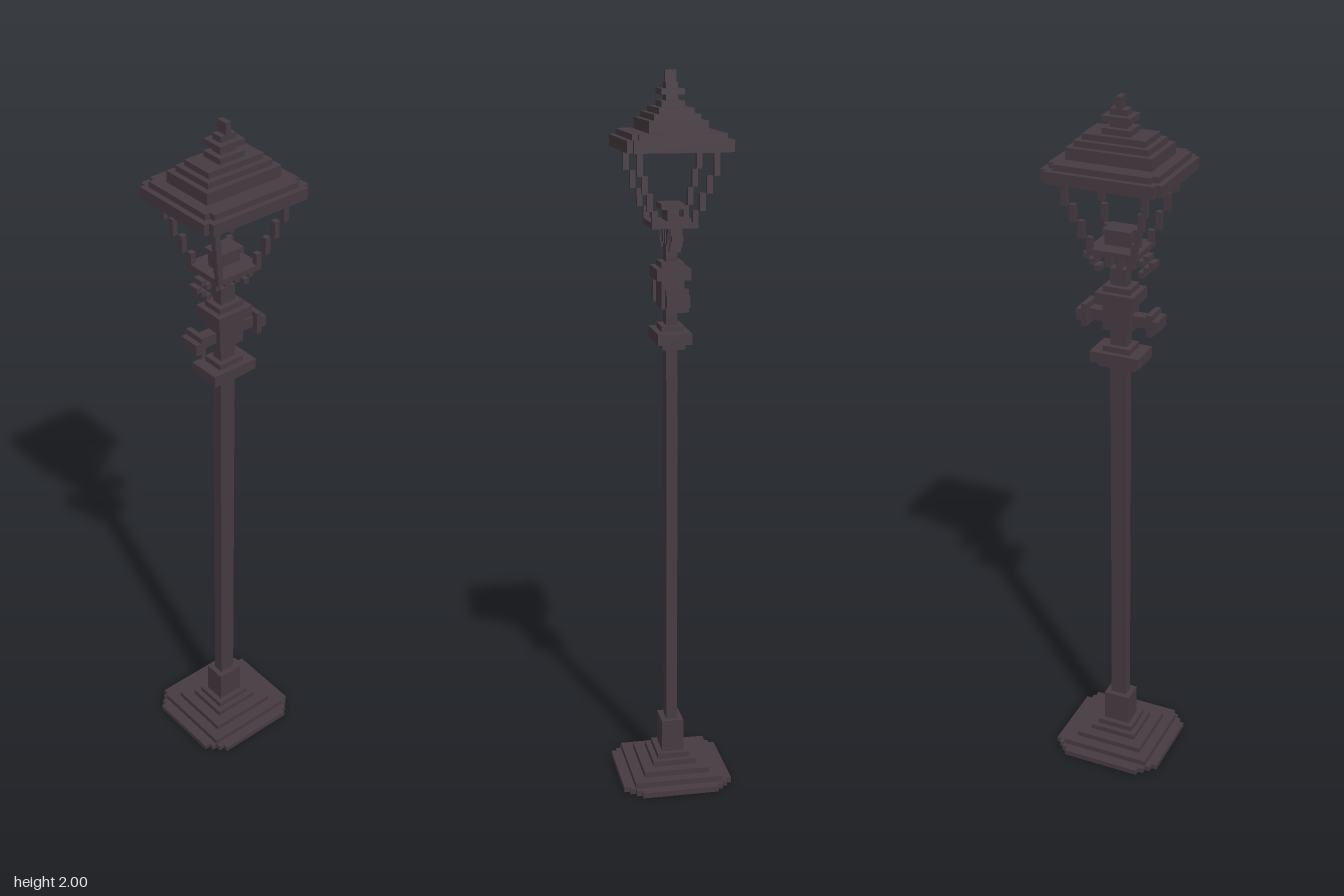
import * as THREE from 'three';

// One block of the grid
const V = 1 / 64;

export function createModel() {
  const model = new THREE.Group();
  const iron = new THREE.MeshStandardMaterial({ color: 0x453a40 });
  iron.name = 'dark iron';

  const part = (name) => {
    const g = new THREE.Group();
    g.name = name;
    model.add(g);
    return g;
  };

  // Box from min to max corner, in blocks
  const block = (parent, x0, x1, y0, y1, z0, z1) => {
    const geo = new THREE.BoxGeometry((x1 - x0) * V, (y1 - y0) * V, (z1 - z0) * V);
    const mesh = new THREE.Mesh(geo, iron);
    mesh.name = parent.name + 'Block';
    mesh.position.set((x0 + x1) / 2 * V, (y0 + y1) / 2 * V, (z0 + z1) / 2 * V);
    parent.add(mesh);
  };

  // Centred layers: [half width, half depth, bottom, top]
  const stack = (name, layers) => {
    const g = part(name);
    layers.forEach(([hx, hz, y0, y1]) => block(g, -hx, hx, y0, y1, -hz, hz));
    return g;
  };

  // Stepped foot with notched corners
  stack('base', [
    [10.5, 7, 0, 1], [9.5, 8, 0, 1], [8.5, 9, 0, 1], [7.5, 10, 0, 1],
    [8.5, 8, 1, 2], [6.5, 6, 2, 3], [4.5, 4, 3, 4], [3.5, 3, 4, 5],
  ]);
  stack('plinth', [[2.5, 2, 5, 11]]);
  stack('post', [[1.5, 1, 11, 97]]);

  // Collars
  stack('lowerCollar', [[3.5, 2, 81, 82], [4.5, 3, 82, 84], [2.5, 2, 84, 85]]);
  stack('upperCollar', [[2.5, 2, 92, 93], [3.5, 3, 93, 95], [2.5, 2, 95, 96]]);

  // Ladder bar with end caps
  const bar = stack('crossbar', [[2.5, 2, 88, 92], [5.5, 1, 89, 91]]);
  for (const s of [-1, 1]) {
    block(bar, s * 6 - 0.5, s * 6 + 0.5, 88, 92, -2, 2);
    block(bar, s * 7 - 0.5, s * 7 + 0.5, 89, 91, -2, 2);
  }

  // Neck and curled brackets: [column, bottom, top]
  const scrolls = stack('scrollNeck', [[0.5, 1, 96, 102]]);
  const curl = [[1, 96, 99], [2, 99, 102], [3, 101, 102], [5, 101, 102],
    [6, 100, 101], [5, 99, 100], [4, 98, 99], [4, 100, 101]];
  for (const s of [-1, 1]) {
    curl.forEach(([c, y0, y1]) => block(scrolls, s * c - 0.5, s * c + 0.5, y0, y1, -1, 1));
  }

  // Lantern floor and burner
  stack('lanternFloor', [[4.5, 4, 102, 103]]);
  stack('burner', [[2.5, 1, 103, 105], [2.5, 2, 105, 106]]);

  // Four stepped corner rods
  const rods = part('lanternFrame');
  const steps = [[4, 3.5, 103, 105], [5, 4.5, 105, 108], [6, 5.5, 108, 111], [7, 6.5, 111, 115]];
  for (const sx of [-1, 1]) {
    for (const sz of [-1, 1]) {
      steps.forEach(([x, z, y0, y1]) =>
        block(rods, sx * x - 0.5, sx * x + 0.5, y0, y1, sz * z - 0.5, sz * z + 0.5));
    }
  }

  // Stepped roof and finial
  stack('roof', [
    [10.5, 8, 115, 117], [9.5, 9, 115, 117],
    [9.5, 7, 117, 118], [8.5, 8, 117, 118],
    [7.5, 5, 118, 120], [6.5, 4, 120, 121], [5.5, 3, 121, 122],
  ]);
  stack('finial', [
    [2.5, 2, 122, 123], [1.5, 1, 123, 124], [2.5, 2, 124, 125],
    [1.5, 1, 125, 126], [0.5, 1, 126, 128],
  ]);

  return model;
}
